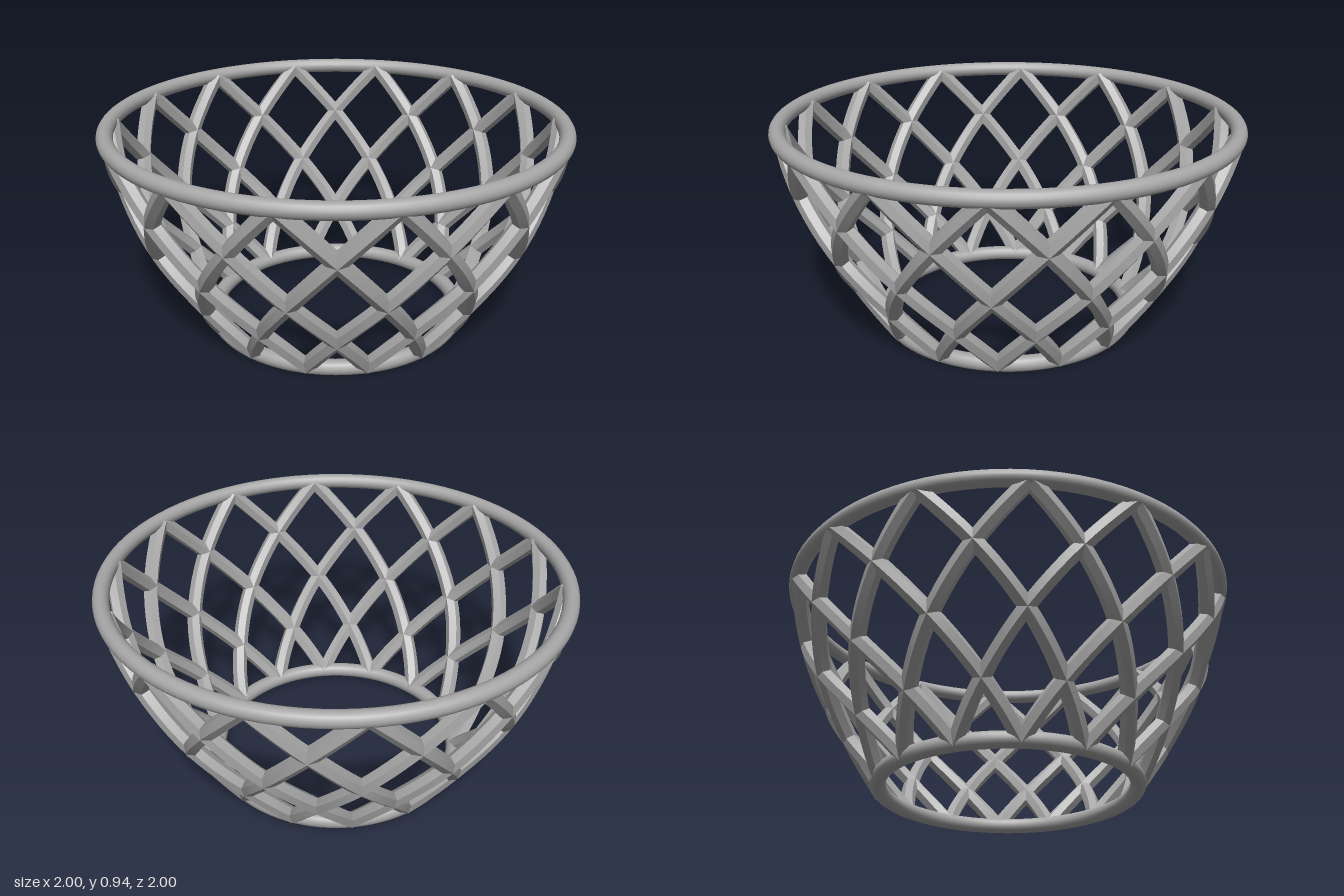
import * as THREE from 'three';
import { toCreasedNormals } from 'three/addons/utils/BufferGeometryUtils.js';

const RODS = 14;
const LEVELS = 4;
const STEP = Math.PI / RODS; // turn of a rod between two crossing levels

// bowl outline at the crossing levels: radius, height
const outline = new THREE.CatmullRomCurve3(
  [[0.55, 0.035], [0.68, 0.24], [0.81, 0.46], [0.9, 0.69], [0.96, 0.915]]
    .map(([r, y]) => new THREE.Vector3(r, y, 0))
);

// hexagonal rod lying on the bowl, with one ridge facing outward
function rodGeometry(dir, radius = 0.035, sides = 6, segments = 24) {
  const angleAt = t => dir * t * LEVELS * STEP;
  const pointAt = t => {
    const p = outline.getPoint(t), a = angleAt(t);
    return new THREE.Vector3(p.x * Math.sin(a), p.y, p.x * Math.cos(a));
  };
  const positions = [], index = [];
  for (let i = 0; i <= segments; i++) {
    const t = i / segments, a = angleAt(t);
    const p = pointAt(t);
    const tangent = pointAt(Math.min(1, t + 0.005)).sub(pointAt(Math.max(0, t - 0.005))).normalize();
    const slope = outline.getTangent(t);
    const normal = new THREE.Vector3(slope.y * Math.sin(a), -slope.x, slope.y * Math.cos(a)).normalize();
    const side = new THREE.Vector3().crossVectors(tangent, normal).normalize();
    for (let j = 0; j < sides; j++) {
      const f = j / sides * Math.PI * 2;
      const v = p.clone()
        .addScaledVector(normal, radius * Math.cos(f))
        .addScaledVector(side, radius * Math.sin(f));
      positions.push(v.x, Math.max(v.y, 0), v.z);
      if (i < segments) {
        const n = (j + 1) % sides, q = i * sides;
        index.push(q + j, q + n, q + sides + j, q + n, q + sides + n, q + sides + j);
      }
    }
  }
  // end caps
  const last = segments * sides;
  for (let j = 1; j < sides - 1; j++) {
    index.push(0, j + 1, j, last, last + j, last + j + 1);
  }
  const g = new THREE.BufferGeometry();
  g.setAttribute('position', new THREE.Float32BufferAttribute(positions, 3));
  g.setIndex(index);
  return toCreasedNormals(g, 0.6);
}

export function createModel() {
  const bowl = new THREE.Group();
  bowl.name = 'latticeBowl';
  const grey = new THREE.MeshStandardMaterial({ color: 0xa6a6a6 });
  grey.name = 'grey';

  // rim and base rings
  const ring = (name, radius, tube, y) => {
    const mesh = new THREE.Mesh(new THREE.TorusGeometry(radius, tube, 16, 96), grey);
    mesh.name = name;
    mesh.rotation.x = -Math.PI / 2;
    mesh.position.y = y;
    bowl.add(mesh);
  };
  ring('rim', 0.966, 0.034, 0.917);
  ring('baseRing', 0.552, 0.034, 0.04);

  // two crossing families of spiral rods
  for (const [name, dir] of [['leftRod', 1], ['rightRod', -1]]) {
    const geometry = rodGeometry(dir);
    for (let k = 0; k < RODS; k++) {
      const rod = new THREE.Mesh(geometry, grey);
      rod.name = name;
      rod.rotation.y = (2 * k + 1) * STEP;
      bowl.add(rod);
    }
  }
  return bowl;
}
